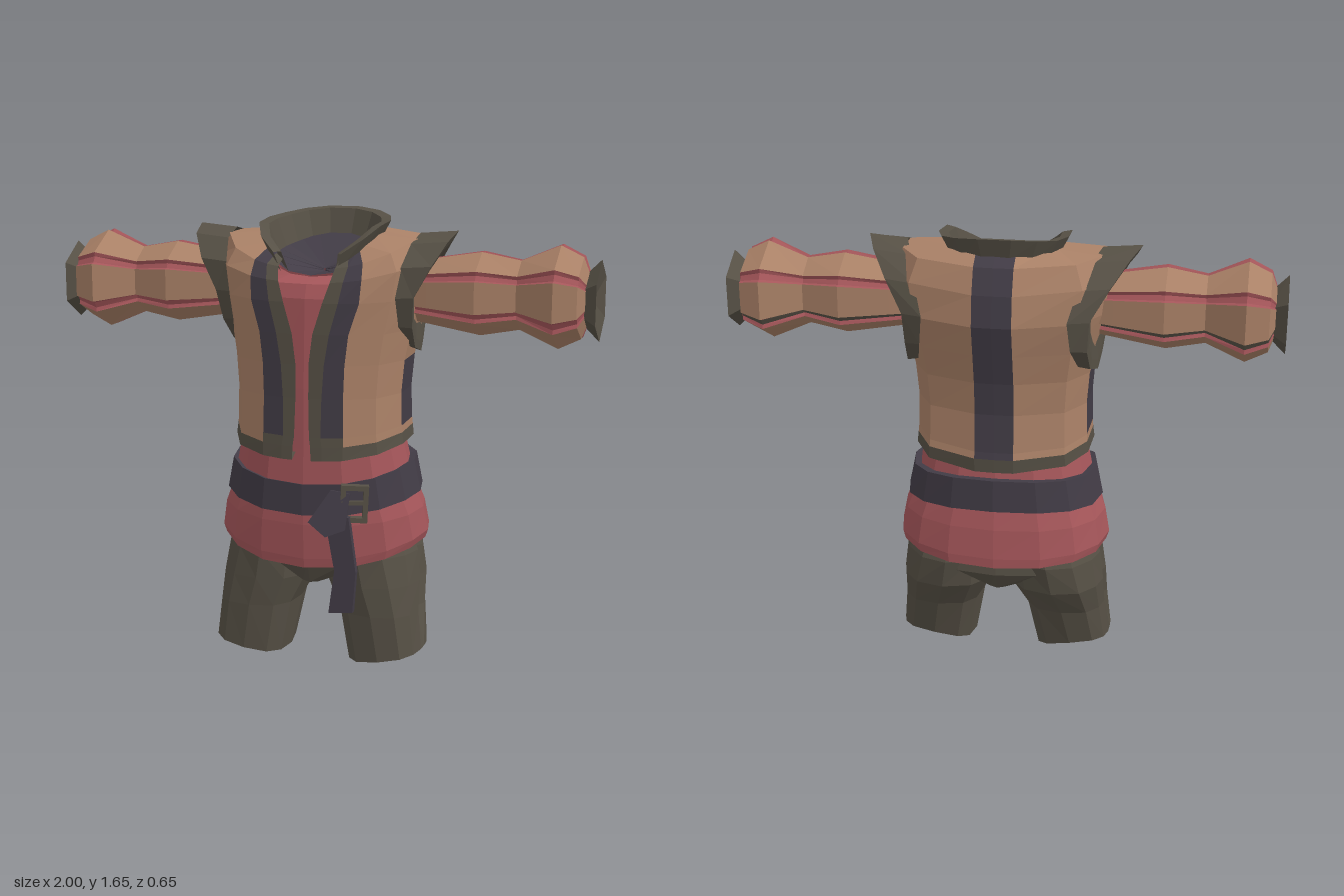
import * as THREE from 'three';

const paint = (name, color) => {
  const m = new THREE.MeshStandardMaterial({ color, flatShading: true, side: THREE.DoubleSide });
  m.name = name;
  return m;
};

export function createModel() {
  const model = new THREE.Group();
  const tan = paint('tan leather', 0xaa8167);
  const red = paint('red cloth', 0xa5565a);
  const olive = paint('dark olive trim', 0x565045);
  const plum = paint('dark plum leather', 0x423c46);
  const mats = [tan, red, olive, plum];
  const TAN = 0, RED = 1, OLIVE = 2, PLUM = 3;

  // Skin a list of equally long rings; pick(row, column) gives the colour of each quad
  function loft(name, rings, pick, closed = true) {
    const buckets = mats.map(() => []);
    const n = rings[0].length;
    for (let r = 0; r < rings.length - 1; r++) {
      for (let c = 0; c < (closed ? n : n - 1); c++) {
        const k = (c + 1) % n;
        const [a, b, d, e] = [rings[r][c], rings[r][k], rings[r + 1][k], rings[r + 1][c]];
        buckets[typeof pick === 'function' ? pick(r, c) : pick].push(...a, ...b, ...d, ...a, ...d, ...e);
      }
    }
    const g = new THREE.BufferGeometry();
    let start = 0;
    buckets.forEach((list, i) => {
      if (list.length) g.addGroup(start, list.length / 3, i);
      start += list.length / 3;
    });
    g.setAttribute('position', new THREE.Float32BufferAttribute(buckets.flat(), 3));
    g.computeVertexNormals();
    const mesh = new THREE.Mesh(g, mats);
    mesh.name = name;
    return mesh;
  }

  // Torso section: heights at front, side and back, half width, front z, back z
  const soft = (v, p) => Math.sign(v) * Math.abs(v) ** p;
  function sectionPoint([yF, yS, yB, rx, zF, zB], t, p, cx) {
    const c = Math.cos(t), cz = (zF + zB) / 2, rz = (zF - zB) / 2;
    return [cx + rx * soft(Math.sin(t), p), yS + ((c > 0 ? yF : yB) - yS) * c * c, cz + rz * soft(c, p)];
  }
  const span = (n, a = 0, b = Math.PI * 2 * (n - 1) / n) =>
    Array.from({ length: n }, (_, i) => a + (b - a) * i / (n - 1));
  const section = (s, ts = span(16), p = 0.87, cx = 0) => ts.map(t => sectionPoint(s, t, p, cx));

  // Shirt with a flared hem
  const shirt = [
    [0.42, 0.48, 0.46, 0.35, 0.22, -0.26],
    [0.385, 0.46, 0.435, 0.385, 0.25, -0.30],
    [0.42, 0.49, 0.47, 0.395, 0.255, -0.30],
    [0.55, 0.58, 0.58, 0.378, 0.262, -0.288],
    [0.65, 0.67, 0.68, 0.34, 0.26, -0.265],
    [0.83, 0.83, 0.83, 0.305, 0.255, -0.24],
    [1.05, 1.05, 1.05, 0.29, 0.25, -0.23],
    [1.37, 1.37, 1.37, 0.33, 0.235, -0.27],
    [1.42, 1.42, 1.46, 0.31, 0.215, -0.24],
    [1.44, 1.48, 1.53, 0.18, 0.165, -0.20]];
  model.add(loft('shirt', shirt.map(s => section(s)), RED));

  // Neck lining
  model.add(loft('neckLining', [
    section([1.445, 1.52, 1.57, 0.20, 0.17, -0.22]),
    section([1.44, 1.45, 1.45, 0.002, 0.0, -0.004])], PLUM));

  // Sleeveless vest: section, then x of opening, trim edge and front stripe edge
  const vest = [
    [[0.82, 0.85, 0.83, 0.30, 0.25, -0.24], [0.03, 0.075, 0.15]],
    [[0.795, 0.835, 0.805, 0.325, 0.28, -0.28], [0.035, 0.075, 0.15]],
    [[0.845, 0.875, 0.855, 0.32, 0.278, -0.282], [0.033, 0.075, 0.15]],
    [[0.88, 0.90, 0.88, 0.318, 0.276, -0.276], [0.028, 0.07, 0.15]],
    [[1.02, 1.02, 1.02, 0.315, 0.27, -0.265], [0.024, 0.072, 0.148]],
    [[1.14, 1.14, 1.14, 0.325, 0.268, -0.275], [0.024, 0.08, 0.152]],
    [[1.25, 1.25, 1.25, 0.345, 0.267, -0.30], [0.038, 0.098, 0.165]],
    [[1.36, 1.37, 1.36, 0.375, 0.262, -0.325], [0.072, 0.128, 0.20]],
    [[1.43, 1.50, 1.47, 0.395, 0.247, -0.31], [0.095, 0.142, 0.205]],
    [[1.475, 1.575, 1.56, 0.36, 0.217, -0.275], [0.105, 0.15, 0.20]],
    [[1.48, 1.585, 1.60, 0.20, 0.18, -0.22], [0.105, 0.135, 0.165]]];
  const vestP = 0.77;
  const vestRings = vest.map(([s, xs]) => {
    const at = x => Math.asin((x / s[3]) ** (1 / vestP));
    const front = xs.map(at);
    const half = [...front, Math.max(0.85, front[2] + 0.1), 1.4, 1.81, 2.35, Math.PI - at(0.07)];
    return section(s, [...half, Math.PI, ...half.map(t => 2 * Math.PI - t).reverse()], vestP);
  });
  model.add(loft('vest', vestRings, (r, c) => {
    const k = Math.min(c, 15 - c);
    if (r < 2 || k === 0) return OLIVE;
    if (k === 1) return r > 2 ? PLUM : OLIVE;
    if (k === 4) return r > 2 && r < 5 ? PLUM : TAN;
    return k === 7 ? PLUM : TAN;
  }, false));

  // Stand-up collar, open at the front
  const collarArc = span(14, 0.5, Math.PI * 2 - 0.5);
  model.add(loft('collar', [
    [1.43, 1.55, 1.58, 0.195, 0.215, -0.235],
    [1.50, 1.625, 1.655, 0.235, 0.24, -0.26],
    [1.50, 1.62, 1.65, 0.20, 0.205, -0.225],
    [1.43, 1.52, 1.56, 0.165, 0.17, -0.20]].map(s => section(s, collarArc)), OLIVE, false));

  // Belt wrapped around the shirt
  model.add(loft('belt', [
    [0.605, 0.655, 0.67, 0.335, 0.24, -0.26],
    [0.59, 0.64, 0.66, 0.367, 0.275, -0.30],
    [0.705, 0.755, 0.778, 0.343, 0.275, -0.295],
    [0.695, 0.745, 0.768, 0.30, 0.235, -0.24]].map(s => section(s)), PLUM));

  // Flat cut pieces: buckle frame, belt fold and hanging tail
  function plate(name, pts, depth, mat, hole) {
    const shape = new THREE.Shape(pts.map(p => new THREE.Vector2(...p)));
    if (hole) shape.holes.push(new THREE.Path(hole.map(p => new THREE.Vector2(...p))));
    const mesh = new THREE.Mesh(new THREE.ExtrudeGeometry(shape, { depth, bevelEnabled: false }), mat);
    mesh.name = name;
    model.add(mesh);
    return mesh;
  }
  const rect = (w, h) => [[-w, -h], [w, -h], [w, h], [-w, h]];
  const buckle = plate('buckle', rect(0.05, 0.068), 0.03, olive, rect(0.032, 0.05));
  buckle.position.set(0.185, 0.645, 0.24);
  buckle.rotation.set(0, 0.35, -0.05);
  const prong = new THREE.Mesh(new THREE.BoxGeometry(0.09, 0.014, 0.014), olive);
  prong.name = 'buckleProng';
  prong.position.set(0.193, 0.65, 0.264);
  prong.rotation.y = 0.35;
  model.add(prong);
  const fold = plate('beltFold',
    [[0.035, 0.58], [0.10, 0.53], [0.17, 0.56], [0.18, 0.69], [0.11, 0.70]], 0.022, plum);
  fold.position.set(0, 0.01, 0.425);
  fold.rotation.set(-0.2, 0.2, 0);
  const tail = plate('beltTail',
    [[0.11, 0.24], [0.20, 0.25], [0.21, 0.40], [0.18, 0.60], [0.09, 0.60], [0.13, 0.40]], 0.025, plum);
  tail.position.z = 0.29;
  tail.rotation.x = -0.04;

  // Trouser seat
  model.add(loft('trouserSeat', [
    [0.31, 0.31, 0.31, 0.002, -0.01, -0.014],
    [0.31, 0.32, 0.31, 0.07, 0.185, -0.21],
    [0.40, 0.40, 0.38, 0.335, 0.215, -0.25],
    [0.50, 0.50, 0.50, 0.325, 0.20, -0.24]].map(s => section(s)), OLIVE));

  // Matching parts for the left side, mirrored to the right
  for (const side of [1, -1]) {
    const half = new THREE.Group();
    half.name = side > 0 ? 'leftSide' : 'rightSide';
    half.scale.x = side;
    model.add(half);

    // Trouser leg: centre x, roundness, section; the hem slants and the outer side has a pleat
    const leg = [
      [0.262, 0.72, [0.03, 0.03, 0.05, 0.002, 0.03, 0.026]],
      [0.262, 0.72, [0.025, 0.03, 0.05, 0.139, 0.19, -0.12]],
      [0.236, 0.75, [0.20, 0.20, 0.20, 0.15, 0.197, -0.165]],
      [0.205, 0.85, [0.31, 0.31, 0.31, 0.178, 0.203, -0.235]],
      [0.187, 1, [0.42, 0.42, 0.42, 0.183, 0.208, -0.255]],
      [0.175, 1, [0.50, 0.50, 0.50, 0.165, 0.18, -0.23]]];
    const legAngles = [0, 0.5, 1, 1.4, 1.57, 1.74, 2.1, 2.6, Math.PI, 3.7, 4.2, 4.71, 5.2, 5.75];
    half.add(loft('trouserLeg', leg.map(([cx, p, s], r) =>
      section(s, legAngles, p, cx).map(([x, y, z], c) => [
        x - (c === 4 && r > 1 ? 0.025 : 0),
        y + (r < 2 ? (x - 0.255) * 0.17 : 0), z])), OLIVE));

    // Hexagonal puffed sleeve with sunken seams on its corners, two of them dark underneath
    const armRing = (x, ry, rz, ts, cy = 1.38, cz = -0.03) =>
      ts.map(t => [x, cy + ry * Math.cos(t), cz + rz * Math.sin(t)]);
    const sleeve = [[0.28, 0.10, 0.10], [0.40, 0.12, 0.125], [0.58, 0.15, 0.16],
      [0.72, 0.124, 0.117], [0.86, 0.184, 0.197], [0.94, 0.145, 0.165], [0.96, 0.09, 0.10]];
    const seams = span(6).flatMap(t => [-0.13, -0.07, 0.07, 0.13].map(d => t + d));
    const sleeveRings = sleeve.map(([x, ry, rz]) => {
      const full = armRing(x, ry, rz, seams), sunk = armRing(x, ry - 0.012, rz - 0.012, seams);
      return full.map((p, c) => (c % 4 === 1 || c % 4 === 2 ? sunk[c] : p));
    });
    half.add(loft('sleeve', sleeveRings, (r, c) => {
      if (c % 4 === 3) return TAN;
      return c === 13 || c === 17 ? OLIVE : RED;
    }));

    // Flared cuff with a hollow end
    half.add(loft('cuff', [[0.94, 0.085, 0.085], [1.0, 0.145, 0.135], [0.97, 0.002, 0.002]]
      .map(([x, ry, rz]) => armRing(x, ry, rz, span(6), 1.37)), OLIVE));

    // Flared armhole trim hugging the shoulder: x at top, middle and bottom, then radii
    const flap = [[0.35, 0.30, 0.31, 0.212, 0.225], [0.49, 0.37, 0.345, 0.224, 0.20],
      [0.47, 0.365, 0.345, 0.19, 0.165], [0.37, 0.35, 0.34, 0.115, 0.115]];
    half.add(loft('armholeTrim', flap.map(([top, mid, low, ry, rz]) => span(12).map(t => {
      const c = Math.cos(t), s = Math.sin(t);
      return [mid + ((c > 0 ? top : low) - mid) * Math.abs(c) - 0.04 * Math.max(0, -s) * rz / 0.2,
        1.375 + ry * c, -0.055 + 0.025 * c + rz * s];
    })), OLIVE));
  }
  return model;
}
